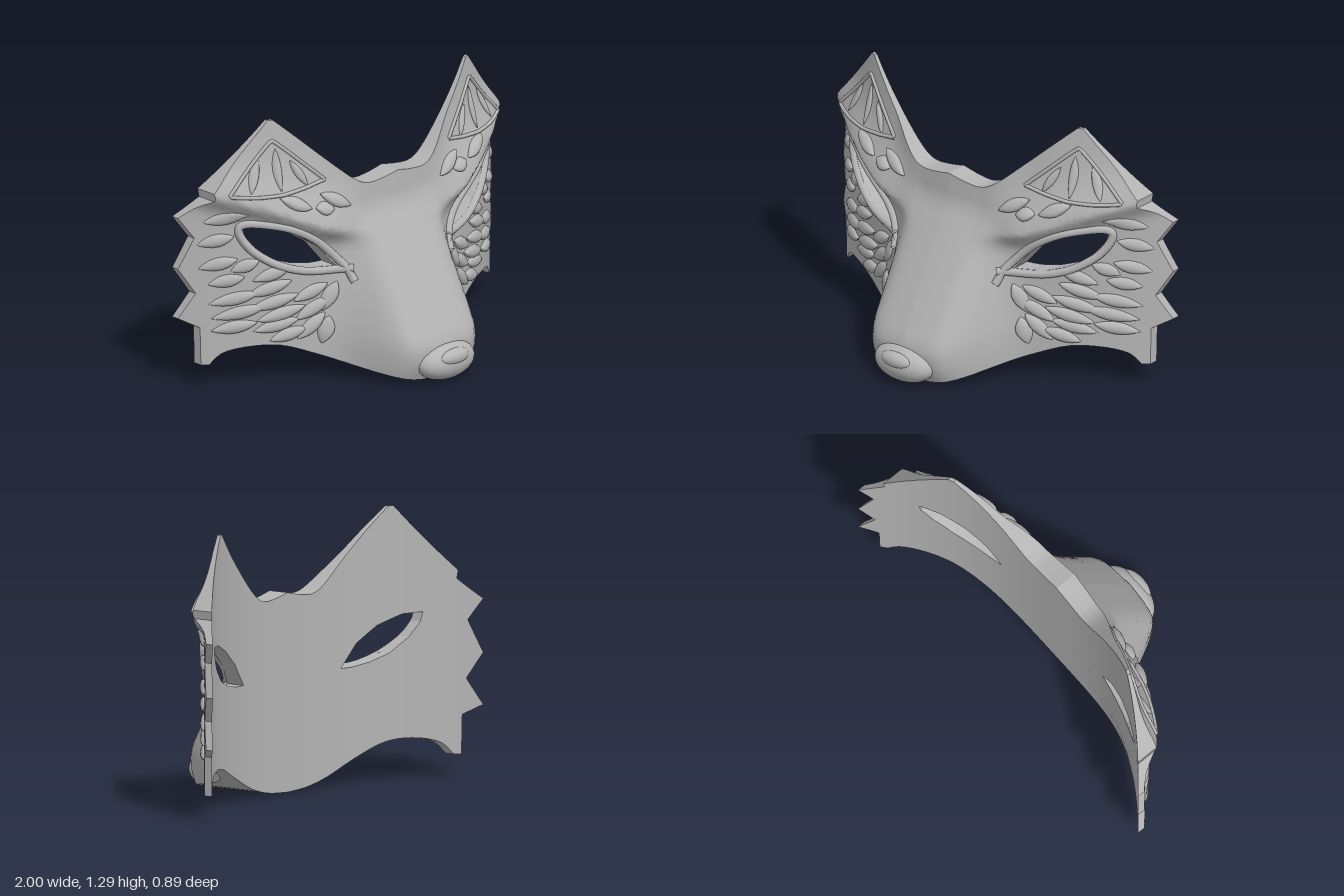
import * as THREE from 'three';

const STEP = 0.04;
const { clamp, lerp, smoothstep } = THREE.MathUtils;

// Piecewise linear lookup, softened by averaging a small window
function ramp(points, t) {
  if (t <= points[0][0]) return points[0][1];
  for (let i = 1; i < points.length; i++) {
    const [a, va] = points[i - 1], [b, vb] = points[i];
    if (t <= b) return lerp(va, vb, (t - a) / (b - a));
  }
  return points[points.length - 1][1];
}
function soft(points, t, w) {
  let sum = 0;
  for (let i = -3; i <= 3; i++) sum += ramp(points, t + (i / 3) * w);
  return sum / 7;
}

const THICKNESS = [[0, 0.11], [0.5, 0.075], [1, 0.04]];
const BRIDGE = [[0, 0.31], [0.06, 0.35], [0.14, 0.37], [0.2, 0.365], [0.8, 0.03], [0.95, 0.02]];
const BROW = [[0.15, 0.71], [0.25, 0.715], [0.44, 0.76], [0.7, 0.885], [0.9, 0.965], [1, 1]];

// Inner face: a simple arc around the head
const backZ = (x) => -0.09 - 0.36 * Math.pow(Math.abs(x), 2.57);

// Outer face: shell thickness, brow ridge, thinning ears and muzzle
function frontZ(x, y) {
  const ax = Math.abs(x);
  const d = y - soft(BROW, ax, 0.05);
  const ridge = 0.072 * Math.exp(-Math.pow(d / (d > 0 ? 0.18 : 0.06), 2)) * smoothstep(ax, 0.15, 0.45);
  const ear = clamp(d / (1.3 - (y - d)), 0, 1) * smoothstep(ax, 0.2, 0.42);
  const shell = lerp(ramp(THICKNESS, ax) + ridge, 0.018, ear);
  const halfWidth = lerp(0.3, 0.265, smoothstep(y, 0.2, 0.7));
  const muzzle = (soft(BRIDGE, y, 0.04) - 0.02) / (1 + Math.pow(ax / halfWidth, 7.5));
  return backZ(x) + shell + muzzle;
}
function frontNormal(x, y) {
  const e = 0.004;
  return new THREE.Vector3(
    (frontZ(x - e, y) - frontZ(x + e, y)) / (2 * e),
    (frontZ(x, y - e) - frontZ(x, y + e)) / (2 * e), 1).normalize();
}
function backNormal(x) {
  return new THREE.Vector3((backZ(x + 0.004) - backZ(x - 0.004)) / 0.008, 0, -1).normalize();
}

const vecs = (list) => list.map(([x, y]) => new THREE.Vector2(x, y));

// Counter-clockwise silhouette with ears, jagged cheeks and a scooped chin
function maskOutline() {
  const half = new THREE.Shape();
  half.moveTo(0, 0.948);
  half.splineThru(vecs([[0.09, 0.93], [0.18, 0.925], [0.26, 0.965], [0.385, 1.08]]));
  [[0.615, 1.297], [0.64, 1.297], [0.77, 1.145], [0.91, 0.98], [0.905, 0.94], [1, 0.843], [0.945, 0.745],
    [1, 0.59], [0.94, 0.47], [1, 0.345], [0.925, 0.3], [0.922, 0.115], [0.893, 0.115]]
    .forEach(([x, y]) => half.lineTo(x, y));
  half.splineThru(vecs([[0.84, 0.175], [0.73, 0.2], [0.6, 0.19], [0.44, 0.125], [0.28, 0.055], [0.14, 0.02], [0, 0.01]]));
  const right = half.getPoints(3);
  const left = right.slice(1, -1).reverse().map((p) => new THREE.Vector2(-p.x, p.y));
  const all = [...right, ...left];
  return THREE.ShapeUtils.isClockWise(all) ? all.reverse() : all;
}

// Clockwise almond eye openings
function eyeHole(side) {
  const pts = vecs([[0.36, 0.553], [0.45, 0.665], [0.56, 0.74], [0.68, 0.785], [0.77, 0.79],
    [0.76, 0.745], [0.71, 0.675], [0.62, 0.605], [0.52, 0.57], [0.43, 0.555]]);
  pts.forEach((p) => { p.x *= side; });
  return THREE.ShapeUtils.isClockWise(pts) ? pts : pts.reverse();
}

// Triangulate the flat silhouette, then halve the longest edges until all are short
function flatTriangles(outline, holes) {
  const pts = [outline, ...holes].flat();
  const done = [];
  const queue = THREE.ShapeUtils.triangulateShape(outline, holes).map((f) => {
    const [a, b, c] = f.map((i) => pts[i]);
    return (b.x - a.x) * (c.y - a.y) - (b.y - a.y) * (c.x - a.x) > 0 ? [a, b, c] : [a, c, b];
  });
  while (queue.length) {
    let [a, b, c] = queue.pop();
    const ab = a.distanceTo(b), bc = b.distanceTo(c), ca = c.distanceTo(a);
    const longest = Math.max(ab, bc, ca);
    if (longest <= STEP) { done.push([a, b, c]); continue; }
    if (longest === bc) [a, b, c] = [b, c, a];
    else if (longest === ca) [a, b, c] = [c, a, b];
    const m = a.clone().add(b).multiplyScalar(0.5);
    queue.push([a, m, c], [m, b, c]);
  }
  return done;
}

function faceGeometry(triangles, zAt, normalAt, flip) {
  const pos = [], nor = [];
  for (const [a, b, c] of triangles) {
    for (const p of flip ? [a, c, b] : [a, b, c]) {
      pos.push(p.x, p.y, zAt(p.x, p.y));
      nor.push(...normalAt(p.x, p.y).toArray());
    }
  }
  const geo = new THREE.BufferGeometry();
  geo.setAttribute('position', new THREE.Float32BufferAttribute(pos, 3));
  geo.setAttribute('normal', new THREE.Float32BufferAttribute(nor, 3));
  return geo;
}

// Side walls joining the outer and inner faces along a loop
function wallGeometry(loop) {
  const pos = [];
  loop.forEach((p, i) => {
    const q = loop[(i + 1) % loop.length];
    const n = 2 ** Math.max(0, Math.ceil(Math.log2(p.distanceTo(q) / STEP)));
    for (let k = 0; k < n; k++) {
      const a = p.clone().lerp(q, k / n), b = p.clone().lerp(q, (k + 1) / n);
      const aB = [a.x, a.y, backZ(a.x)], bB = [b.x, b.y, backZ(b.x)];
      const aF = [a.x, a.y, frontZ(a.x, a.y)], bF = [b.x, b.y, frontZ(b.x, b.y)];
      pos.push(...aB, ...bB, ...bF, ...aB, ...bF, ...aF);
    }
  });
  const geo = new THREE.BufferGeometry();
  geo.setAttribute('position', new THREE.Float32BufferAttribute(pos, 3));
  geo.computeVertexNormals();
  return geo;
}

// Pointed leaf that hugs the outer face
function leafGeometry(x, y, degrees, length, width, height) {
  const geo = new THREE.SphereGeometry(1, 14, 10).rotateZ(Math.PI / 2);
  const p = geo.attributes.position, r = THREE.MathUtils.degToRad(degrees);
  for (let i = 0; i < p.count; i++) {
    const t = p.getX(i), taper = Math.sqrt(Math.max(0, 1 - t * t));
    const u = t * length / 2, v = p.getY(i) * taper * width / 2;
    const px = x + u * Math.cos(r) - v * Math.sin(r), py = y + u * Math.sin(r) + v * Math.cos(r);
    p.setXYZ(i, px, py, frontZ(px, py) + p.getZ(i) * height);
  }
  geo.computeVertexNormals();
  return geo;
}

// Raised cord following a path drawn on the outer face
function cordGeometry(points, radius, tension) {
  const flat = new THREE.CatmullRomCurve3(points.map(([x, y]) => new THREE.Vector3(x, y, 0)), false, 'catmullrom', tension);
  const onFace = flat.getPoints(70).map((p) => p.setZ(frontZ(p.x, p.y) + radius * 0.3));
  return new THREE.TubeGeometry(new THREE.CatmullRomCurve3(onFace), 110, radius, 8);
}

function mirrored(geo) {
  const copy = geo.clone().scale(-1, 1, 1), index = copy.index;
  for (let i = 0; i < index.count; i += 3) {
    const b = index.getX(i + 1);
    index.setX(i + 1, index.getX(i + 2));
    index.setX(i + 2, b);
  }
  return copy;
}

export function createModel() {
  const group = new THREE.Group();
  const grey = new THREE.MeshStandardMaterial({ color: 0xb4b4b4, side: THREE.DoubleSide });
  grey.name = 'matte grey';
  const add = (name, geo) => {
    const mesh = new THREE.Mesh(geo, grey);
    mesh.name = name;
    group.add(mesh);
    return mesh;
  };
  const addPair = (name, geo) => { add(name + 'Left', geo); add(name + 'Right', mirrored(geo)); };

  // Mask shell
  const outline = maskOutline(), holes = [eyeHole(1), eyeHole(-1)];
  const triangles = flatTriangles(outline, holes);
  add('maskFront', faceGeometry(triangles, frontZ, frontNormal, false));
  add('maskBack', faceGeometry(triangles, backZ, backNormal, true));
  [outline, ...holes].forEach((loop, i) => add(i ? 'eyeOpeningWall' : 'maskEdge', wallGeometry(loop)));

  // Nose with a small raised pad
  const nose = add('nose', new THREE.SphereGeometry(1, 36, 24));
  nose.scale.set(0.165, 0.09, 0.092);
  nose.position.set(0, 0.094, 0.343);
  const pad = add('nosePad', new THREE.SphereGeometry(1, 28, 16));
  pad.scale.set(0.09, 0.04, 0.04);
  pad.position.set(0, 0.125, 0.402);

  // Eye rims, crossing at the inner corner
  addPair('eyeRim', cordGeometry([[0.305, 0.48], [0.335, 0.56], [0.45, 0.685], [0.58, 0.77], [0.7, 0.805], [0.775, 0.805],
    [0.785, 0.76], [0.735, 0.675], [0.64, 0.6], [0.53, 0.555], [0.42, 0.54], [0.3, 0.54]], 0.02, 0.5));

  // Ear frames and inner ear slivers
  addPair('earFrame', cordGeometry([[0.395, 0.98], [0.51, 1.09], [0.63, 1.2], [0.745, 1.08], [0.855, 0.965],
    [0.74, 0.95], [0.62, 0.947], [0.5, 0.96], [0.395, 0.98]], 0.009, 0.1));
  [[0.52, 1.03, 62, 0.15], [0.62, 1.06, 92, 0.2], [0.73, 1.045, 114, 0.17]]
    .forEach(([x, y, a, l]) => addPair('earSliver', leafGeometry(x, y, a, l, 0.04, 0.016)));

  // Feathers on brows and cheeks: x, y, angle, length
  [[0.36, 0.88, 28, 0.17], [0.43, 0.855, 10, 0.1], [0.57, 0.9, 25, 0.16],
    [0.84, 0.84, -15, 0.16], [0.87, 0.73, -18, 0.14], [0.86, 0.615, -18, 0.15], [0.76, 0.6, -25, 0.12],
    [0.65, 0.55, -20, 0.17], [0.66, 0.48, -18, 0.2], [0.83, 0.53, -15, 0.14], [0.8, 0.44, -15, 0.2],
    [0.64, 0.41, -16, 0.22], [0.48, 0.44, -25, 0.17], [0.78, 0.37, -14, 0.22], [0.61, 0.35, -16, 0.22],
    [0.47, 0.36, -32, 0.19], [0.8, 0.3, -12, 0.18], [0.63, 0.295, -14, 0.2], [0.58, 0.245, -18, 0.17],
    [0.48, 0.275, -45, 0.17], [0.4, 0.41, -62, 0.16], [0.42, 0.25, -75, 0.14]]
    .forEach(([x, y, a, l]) => addPair('feather', leafGeometry(x, y, a, l, 0.062, 0.026)));

  return group;
}
